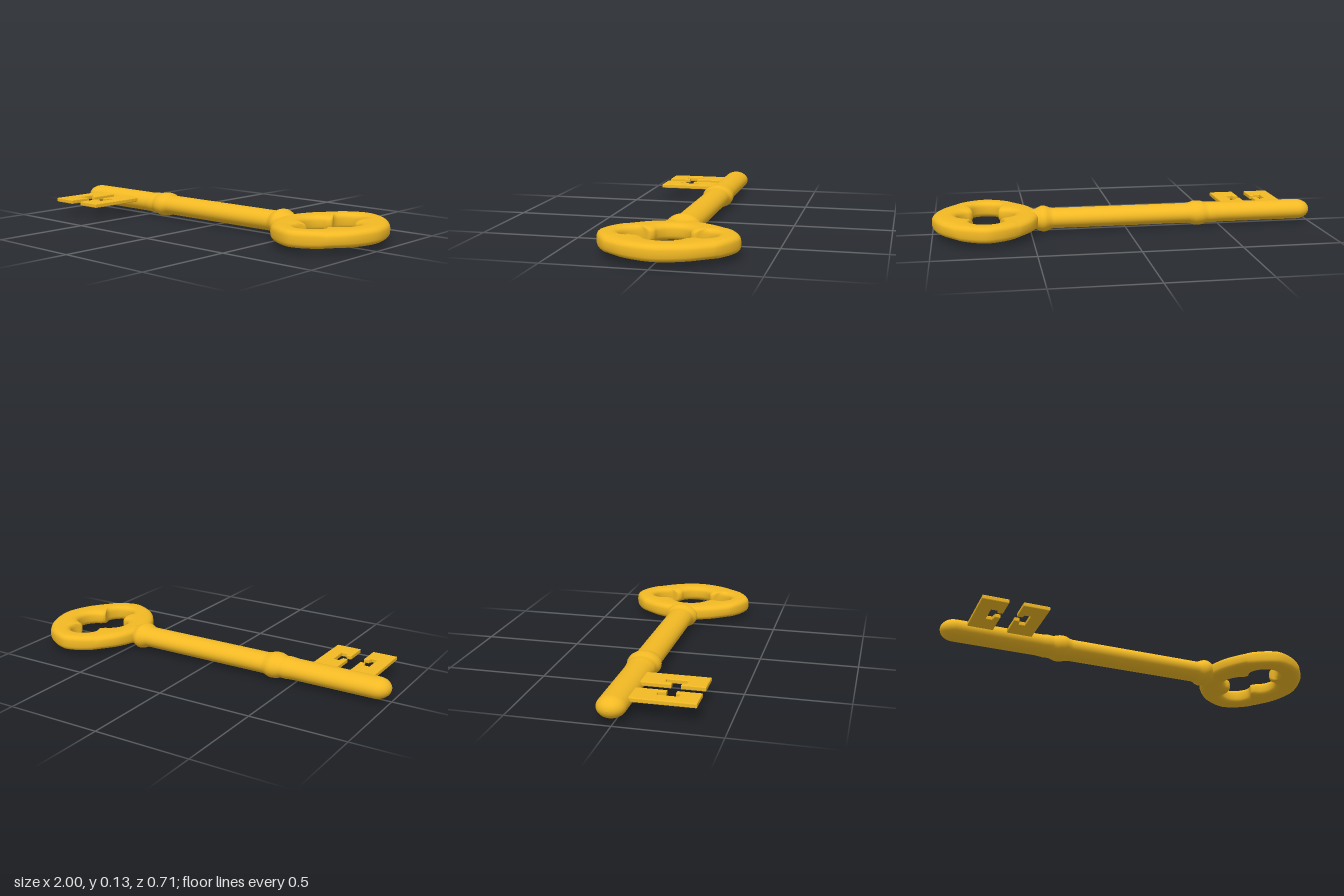
import * as THREE from 'three';

const gold = new THREE.MeshStandardMaterial({ color: 0xf2b924 });
const AXIS_Y = 0.065, AXIS_Z = -0.018;

function addPart(group, name, geometry, x, y, z) {
  const mesh = new THREE.Mesh(geometry, gold);
  mesh.name = name;
  mesh.position.set(x, y, z);
  group.add(mesh);
}

// Closed smooth curve from one quadrant of [x, z] points, mirrored both ways
function mirroredLoop(quadrant) {
  const half = [...quadrant, ...quadrant.slice(0, -1).reverse().map(([x, z]) => [x, -z])];
  const full = [...half, ...half.slice(1, -1).reverse().map(([x, z]) => [-x, z])];
  return new THREE.CatmullRomCurve3(full.map(([x, z]) => new THREE.Vector3(x, 0, z)), true, 'centripetal');
}

// Ring with a rounded section swept between the inner and outer outlines
function bowGeometry() {
  const outer = mirroredLoop([[0, -0.336], [0.07, -0.316], [0.132, -0.28], [0.15, -0.266], [0.162, -0.256],
    [0.192, -0.219], [0.23, -0.16], [0.26, -0.08], [0.273, 0]]);
  const inner = mirroredLoop([[0, -0.23], [0.05, -0.214], [0.08, -0.17], [0.08, -0.14], [0.066, -0.105],
    [0.078, -0.088], [0.107, -0.077], [0.138, -0.045], [0.149, 0]]);
  const rounds = 160, sides = 28, halfHeight = 0.042;
  const power = (v, p) => Math.sign(v) * Math.abs(v) ** p;
  const positions = [], index = [];
  for (let i = 0; i < rounds; i++) {
    const a = inner.getPoint(i / rounds), b = outer.getPoint(i / rounds);
    for (let j = 0; j < sides; j++) {
      const t = (j / sides) * Math.PI * 2;
      const p = a.clone().lerp(b, 0.5 + 0.5 * power(Math.cos(t), 0.65));
      positions.push(p.x, halfHeight * power(Math.sin(t), 0.65), p.z);
      const i2 = (i + 1) % rounds, j2 = (j + 1) % sides;
      const p00 = i * sides + j, p01 = i * sides + j2, p10 = i2 * sides + j, p11 = i2 * sides + j2;
      index.push(p00, p01, p10, p01, p11, p10);
    }
  }
  const geometry = new THREE.BufferGeometry();
  geometry.setAttribute('position', new THREE.Float32BufferAttribute(positions, 3));
  geometry.setIndex(index);
  geometry.computeVertexNormals();
  return geometry;
}

// Turned shaft along x, slightly flattened, with a rounded tip and two collars
function shaftGeometry() {
  const profile = [];
  for (let i = 0; i <= 8; i++) {
    const t = (i / 8) * Math.PI / 2;
    profile.push([-0.93 - 0.07 * Math.cos(t), 0.07 * Math.sin(t)]);
  }
  profile.push([-0.5, 0.07], [-0.475, 0.072], [-0.455, 0.075], [-0.435, 0.073], [-0.425, 0.073],
    [-0.41, 0.08], [-0.395, 0.085], [-0.375, 0.086], [-0.36, 0.083], [-0.345, 0.075], [-0.325, 0.07],
    [0.385, 0.07], [0.4, 0.074], [0.415, 0.084], [0.428, 0.089], [0.44, 0.089], [0.455, 0.082],
    [0.47, 0.071], [0.485, 0.064], [0.52, 0.056], [0.56, 0.05], [0.565, 0]);
  const geometry = new THREE.LatheGeometry(profile.map(([x, r]) => new THREE.Vector2(r, x)), 48);
  geometry.rotateZ(-Math.PI / 2);
  geometry.scale(1, 0.74, 1);
  return geometry;
}

// Flat notched tooth plate
function toothGeometry(mirror) {
  const outline = [[-0.88, -0.02], [-0.75, -0.02], [-0.75, 0.19], [-0.776, 0.19], [-0.783, 0.155],
    [-0.813, 0.155], [-0.813, 0.257], [-0.783, 0.257], [-0.776, 0.235], [-0.75, 0.235],
    [-0.75, 0.353], [-0.88, 0.353]];
  const shape = new THREE.Shape(outline.map(([x, z]) => new THREE.Vector2(mirror ? -1.43 - x : x, z)));
  const geometry = new THREE.ExtrudeGeometry(shape, {
    depth: 0.014, bevelEnabled: true, bevelThickness: 0.004, bevelSize: 0.004, bevelOffset: -0.004, bevelSegments: 2,
  });
  geometry.translate(0, 0, -0.007);
  geometry.rotateX(Math.PI / 2);
  return geometry;
}

export function createModel() {
  const key = new THREE.Group();
  key.name = 'key';
  addPart(key, 'shaft', shaftGeometry(), 0, AXIS_Y, AXIS_Z);
  addPart(key, 'bow', bowGeometry(), 0.727, AXIS_Y + 0.002, AXIS_Z);
  addPart(key, 'tipTooth', toothGeometry(false), 0, 0.079, 0);
  addPart(key, 'innerTooth', toothGeometry(true), 0, 0.079, 0);
  return key;
}
